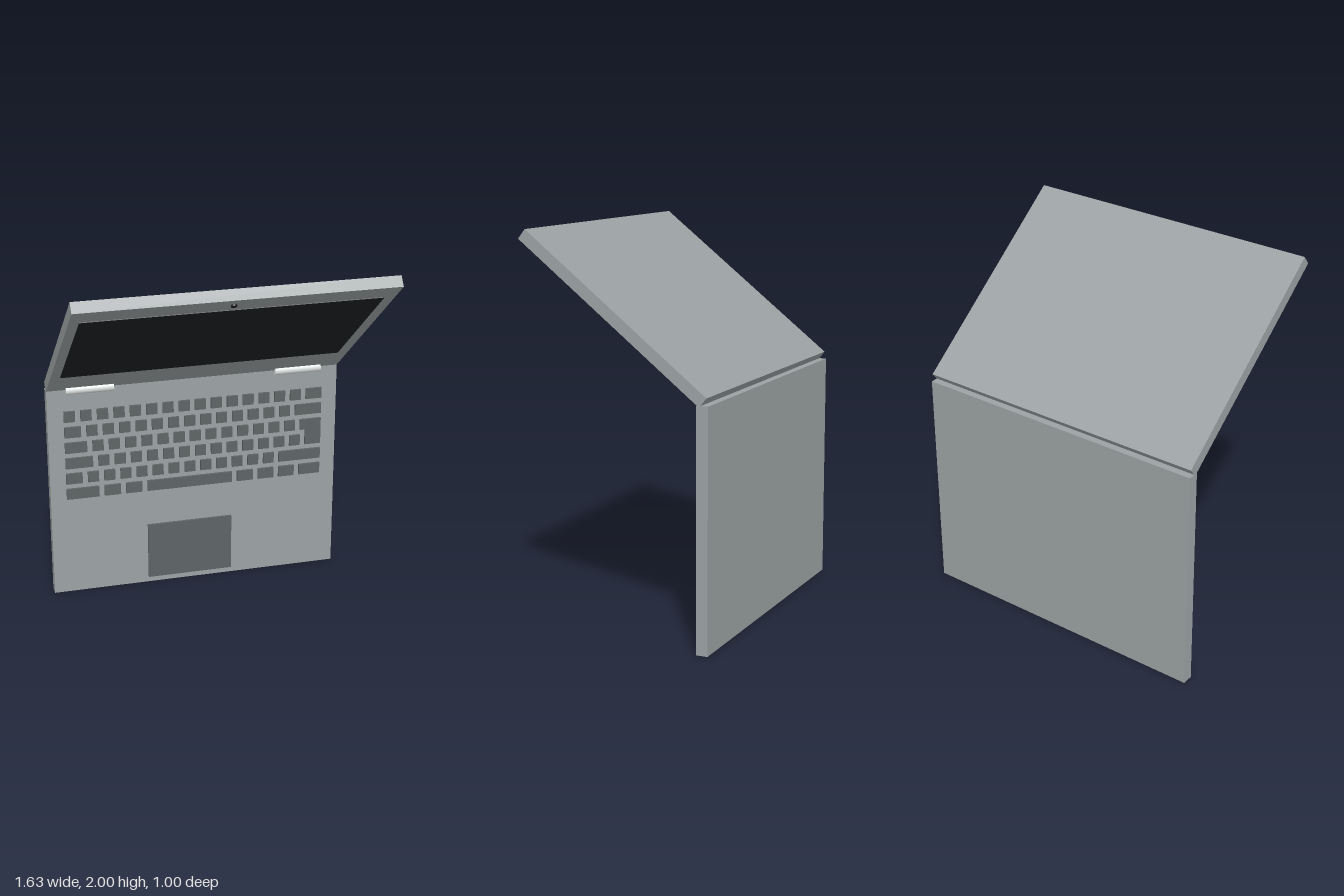
import * as THREE from 'three';

const WIDTH = 1.626, LENGTH = 1.212, THICK = 0.06;   // each half of the shell
const BASE_FRONT = -0.438, PROUD = 0.013;            // keyboard deck plane and key height
const UNIT = 0.0906, ROW = 0.0912, GAP = 0.03;       // key pitch and spacing
const KEYS_LEFT = -0.725, KEYS_TOP = 1.09;

const material = (color) => new THREE.MeshStandardMaterial({ color });

export function createModel() {
  const model = new THREE.Group();
  model.name = 'laptop';
  const shell = material(0x9ca2a4), dark = material(0x5e6466);
  const black = material(0x1e2022), silver = material(0xdde2e0);

  const add = (parent, name, geometry, mat, x, y, z) => {
    const mesh = new THREE.Mesh(geometry, mat);
    mesh.name = name;
    mesh.position.set(x, y, z);
    parent.add(mesh);
    return mesh;
  };
  const box = (parent, name, mat, w, h, d, x, y, z) =>
    add(parent, name, new THREE.BoxGeometry(w, h, d), mat, x, y, z);

  // Base, standing upright
  box(model, 'base', shell, WIDTH, LENGTH, THICK, 0, LENGTH / 2, BASE_FRONT - THICK / 2);
  box(model, 'touchpad', dark, 0.482, 0.328, PROUD, -0.034, 0.198, BASE_FRONT + PROUD / 2);

  // Keyboard: key widths per row in units, 0 leaves room for the enter key
  const ones = (n) => Array(n).fill(1);
  const rows = [
    [...ones(15), 1.33],
    [1.33, ...ones(13), 2],
    [1.67, ...ones(13)],
    [2, ...ones(13)],
    [1.33, ...ones(12), 3],
    [2.33, 1.33, 1.33, 5.67, 1.33, 1.33, 1.33, 1.67],
  ];
  const keyboard = new THREE.Group();
  keyboard.name = 'keyboard';
  model.add(keyboard);
  rows.forEach((row, r) => {
    let u = 0;
    for (const size of row) {
      const w = size * UNIT - GAP, h = ROW - GAP;
      box(keyboard, 'key', dark, w, h, PROUD,
        KEYS_LEFT + u * UNIT + w / 2, KEYS_TOP - r * ROW - h / 2, BASE_FRONT + PROUD / 2);
      u += size;
    }
  });

  // L-shaped enter key over two rows
  const left = KEYS_LEFT + 14.67 * UNIT, step = KEYS_LEFT + 15 * UNIT;
  const right = KEYS_LEFT + 16.33 * UNIT - GAP;
  const top = KEYS_TOP - 2 * ROW, notch = top - ROW + GAP, bottom = notch - ROW;
  const enter = new THREE.Shape([
    [left, top], [left, notch], [step, notch], [step, bottom], [right, bottom], [right, top],
  ].map(([x, y]) => new THREE.Vector2(x, y)));
  add(keyboard, 'enterKey', new THREE.ExtrudeGeometry(enter, { depth: PROUD, bevelEnabled: false }),
    dark, 0, 0, BASE_FRONT);

  // Hinge barrels
  for (const side of [-1, 1]) {
    const hinge = add(model, 'hinge', new THREE.CylinderGeometry(0.024, 0.024, 0.26, 32),
      silver, side * 0.58, 1.213, -0.43);
    hinge.rotation.z = Math.PI / 2;
  }

  // Lid, tilted forward about its lower front edge
  const lid = new THREE.Group();
  lid.name = 'lid';
  lid.position.set(0, 1.203, -0.452);
  lid.rotation.x = 0.902;
  model.add(lid);
  box(lid, 'lidShell', shell, WIDTH, LENGTH, THICK, 0, LENGTH / 2, -THICK / 2);
  box(lid, 'screen', black, 1.514, 0.839, 0.008, -0.005, 0.668, 0);
  const webcam = add(lid, 'webcam', new THREE.CylinderGeometry(0.015, 0.015, 0.02, 24),
    black, -0.026, 1.155, 0);
  webcam.rotation.x = Math.PI / 2;

  return model;
}
